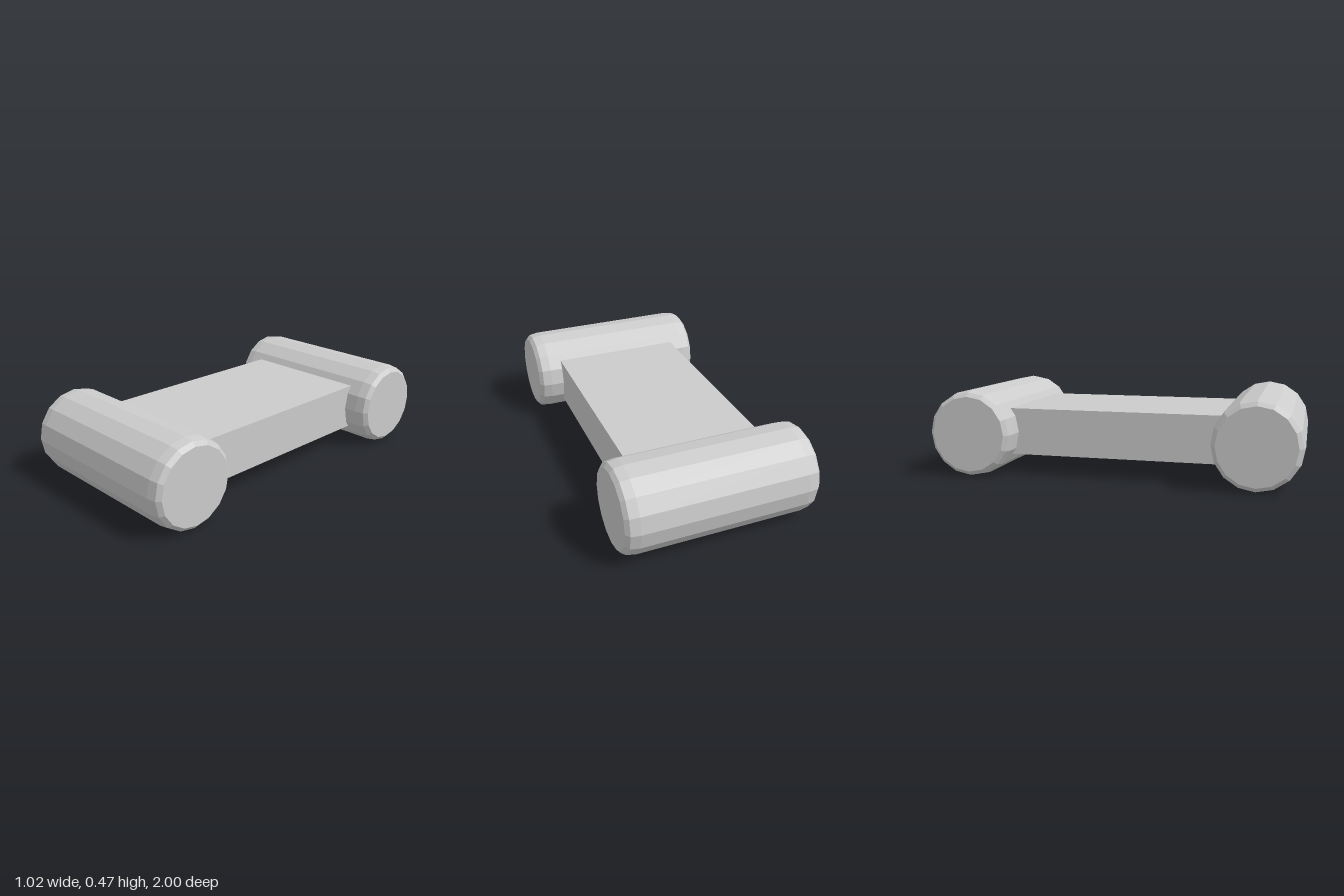
import * as THREE from 'three';

const material = new THREE.MeshStandardMaterial({ color: 0xcccccc, flatShading: true });

// 16-sided roller lying along x, with softly bevelled rims
function rollerGeometry() {
  const half = [[0.234, 0.44], [0.226, 0.49], [0.204, 0.51], [0, 0.51]];
  const upper = half.map(([r, h]) => new THREE.Vector2(r, h));
  const lower = half.map(([r, h]) => new THREE.Vector2(r, -h)).reverse();
  return new THREE.LatheGeometry([...lower, ...upper], 16).rotateZ(Math.PI / 2);
}

export function createModel() {
  const group = new THREE.Group();

  // Flat slab joining the two rollers
  const slab = new THREE.Mesh(new THREE.BoxGeometry(0.735, 0.254, 1.5), material);
  slab.name = 'connectingSlab';
  slab.position.y = 0.238;
  group.add(slab);

  // Rollers at the front and back
  const geometry = rollerGeometry();
  for (const side of [1, -1]) {
    const roller = new THREE.Mesh(geometry, material);
    roller.name = side > 0 ? 'frontRoller' : 'backRoller';
    roller.position.set(0, 0.234, side * 0.766);
    group.add(roller);
  }
  return group;
}
